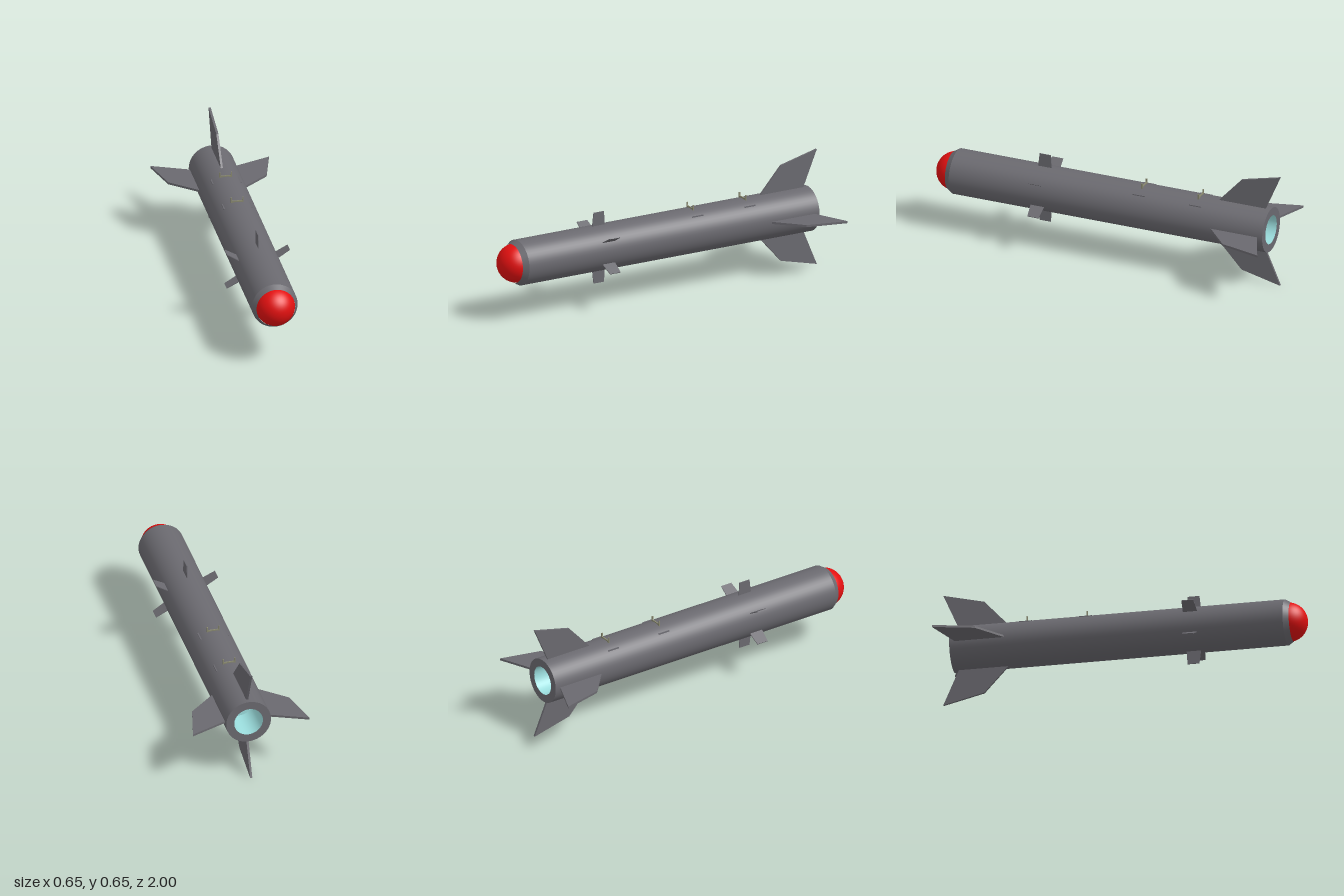
import * as THREE from 'three';

const AXIS_Y = 0.325, RADIUS = 0.125;

export function createModel() {
  const model = new THREE.Group();
  const axis = new THREE.Group();
  axis.name = 'missile';
  axis.position.y = AXIS_Y;
  model.add(axis);

  const mat = (name, color) => {
    const m = new THREE.MeshStandardMaterial({ color });
    m.name = name;
    return m;
  };
  const grey = mat('body grey', 0x6a696f);
  const red = mat('nose red', 0xe31010);
  const cyan = mat('nozzle cyan', 0x9adcdc);
  const khaki = mat('lug khaki', 0x88886f);

  const add = (name, geometry, material) => {
    const mesh = new THREE.Mesh(geometry, material);
    mesh.name = name;
    axis.add(mesh);
    return mesh;
  };

  // One surface of revolution per profile span keeps the rims sharp
  const turned = (name, points, material) => {
    const g = new THREE.LatheGeometry(points.map(p => new THREE.Vector2(...p)), 48);
    return add(name, g.rotateX(Math.PI / 2), material);
  };
  turned('tailRing', [[0.08, -0.945], [RADIUS, -0.945]], grey);
  turned('bodyTube', [[RADIUS, -0.945], [RADIUS, 0.885]], grey);
  turned('noseBevel', [[RADIUS, 0.885], [0.106, 0.915]], grey);
  turned('nozzleWall', [[0.08, -0.75], [0.08, -0.945]], cyan);
  turned('nozzleEnd', [[0, -0.75], [0.08, -0.75]], cyan);

  // Round seeker dome
  const dome = new THREE.SphereGeometry(0.107, 48, 16, 0, Math.PI * 2, 0, Math.PI / 2);
  add('noseDome', dome.rotateX(Math.PI / 2), red).position.z = 0.893;

  // Flat blade from an outline of (radius, z), turned about the body axis
  const blade = (name, outline, thickness, angle) => {
    const shape = new THREE.Shape(outline.map(p => new THREE.Vector2(...p)));
    const g = new THREE.ExtrudeGeometry(shape, { depth: thickness, bevelEnabled: false });
    g.translate(0, 0, -thickness / 2).rotateX(Math.PI / 2);
    add(name, g, grey).rotation.z = angle;
  };
  const tail = [[0.115, -0.636], [0.27, -0.775], [0.325, -1], [0.115, -0.911]];
  for (let i = 0; i < 4; i++) blade('tailFin', tail, 0.012, i * Math.PI / 2);

  const canard = [[0.115, 0.415], [0.2, 0.405], [0.2, 0.34], [0.115, 0.335]];
  for (let i = 0; i < 6; i++) blade('frontCanard', canard, 0.004, Math.PI / 6 + i * Math.PI / 3);

  // Two launch lugs, each a U-shaped hook over a mostly buried saddle
  const hook = new THREE.Shape();
  hook.moveTo(-0.035, 0.11);
  hook.lineTo(0.035, 0.11);
  hook.lineTo(0.035, 0.15);
  hook.lineTo(0.029, 0.15);
  hook.lineTo(0.029, 0.138);
  hook.quadraticCurveTo(0.029, 0.131, 0.022, 0.131);
  hook.lineTo(-0.022, 0.131);
  hook.quadraticCurveTo(-0.029, 0.131, -0.029, 0.138);
  hook.lineTo(-0.029, 0.15);
  hook.lineTo(-0.035, 0.15);
  const hookGeo = new THREE.ExtrudeGeometry(hook, { depth: 0.007, bevelEnabled: false, curveSegments: 4 });
  hookGeo.translate(0, 0, -0.0035);
  const saddleGeo = new THREE.BoxGeometry(0.158, 0.012, 0.07);
  for (const z of [-0.205, -0.535]) {
    add('launchLug', hookGeo, khaki).position.z = z;
    add('lugSaddle', saddleGeo, grey).position.set(0, 0.096, z);
  }

  return model;
}
